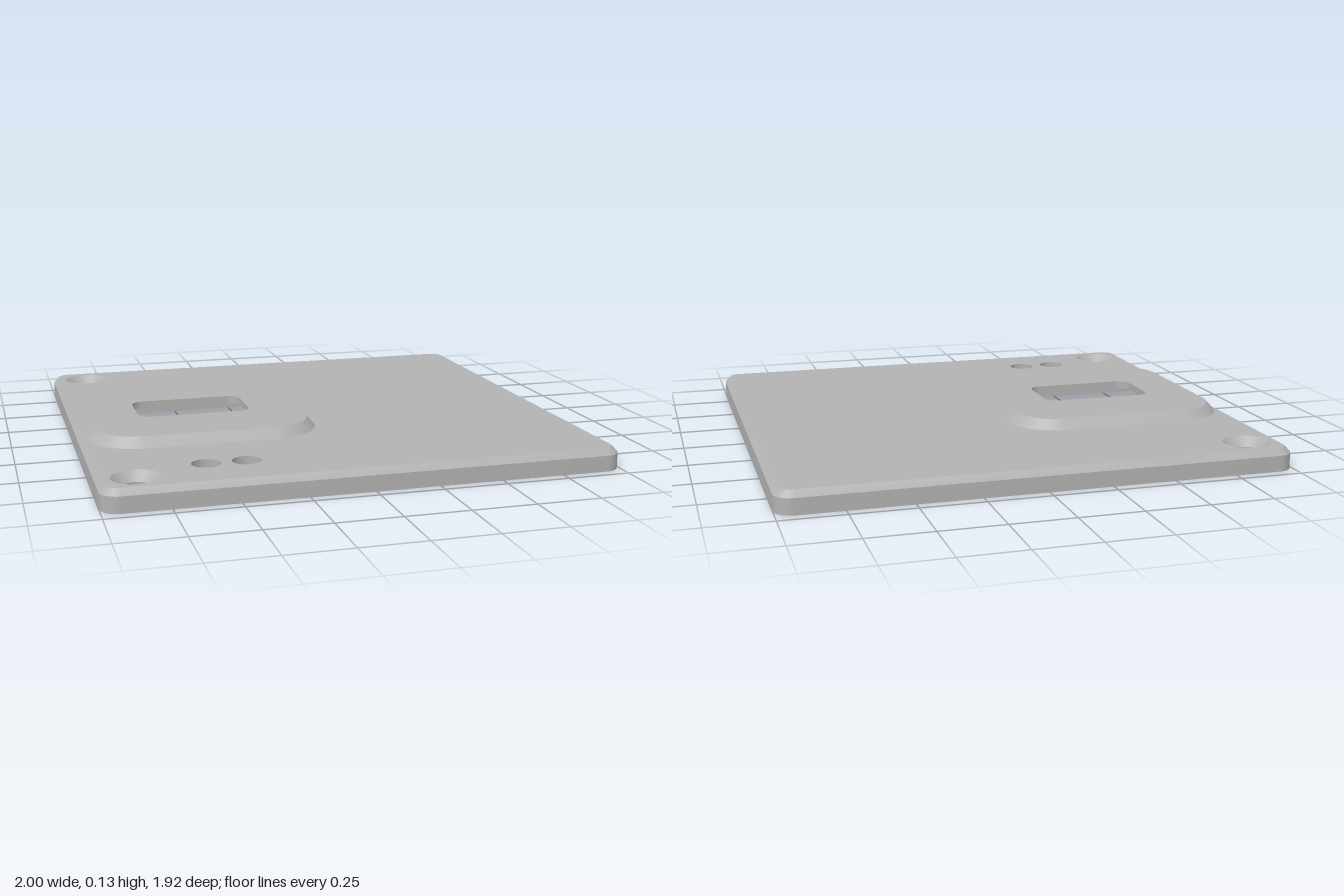
import * as THREE from 'three';
import { mergeGeometries, toCreasedNormals } from 'three/addons/utils/BufferGeometryUtils.js';

// Closed outlines in plan, counter-clockwise from above; y of each point is -z.
function roundedRect(cx, cz, w, d, r, seg = 10) {
  const pts = [];
  const corners = [[1, 1], [-1, 1], [-1, -1], [1, -1]];
  corners.forEach(([sx, sy], k) => {
    for (let i = 0; i <= seg; i++) {
      const a = (k + (seg ? i / seg : 0)) * Math.PI / 2;
      pts.push(new THREE.Vector2(
        cx + sx * (w / 2 - r) + r * Math.cos(a),
        -cz + sy * (d / 2 - r) + r * Math.sin(a)));
    }
  });
  return pts;
}

function circle(cx, cz, r, n = 40) {
  return Array.from({ length: n }, (_, i) => {
    const a = i / n * Math.PI * 2;
    return new THREE.Vector2(cx + r * Math.cos(a), -cz + r * Math.sin(a));
  });
}

// Horizontal face with holes, facing up or down.
function face(outline, holes, y, up) {
  const shape = new THREE.Shape(outline);
  shape.holes = holes.map(h => new THREE.Path(h));
  const g = new THREE.ShapeGeometry(shape);
  if (!up) g.index.array.reverse();
  g.rotateX(-Math.PI / 2).translate(0, y, 0);
  const flat = g.toNonIndexed();
  flat.deleteAttribute('uv');
  flat.deleteAttribute('normal');
  return flat;
}

// Band between two outlines: low to high faces outward, high to low inward.
function wall(a, ya, b, yb) {
  const pos = [];
  const put = (p, y) => pos.push(p.x, y, -p.y);
  for (let i = 0; i < a.length; i++) {
    const j = (i + 1) % a.length;
    put(a[i], ya); put(a[j], ya); put(b[j], yb);
    put(a[i], ya); put(b[j], yb); put(b[i], yb);
  }
  const g = new THREE.BufferGeometry();
  g.setAttribute('position', new THREE.Float32BufferAttribute(pos, 3));
  return g;
}

export function createModel() {
  const model = new THREE.Group();
  const grey = new THREE.MeshStandardMaterial({ color: 0xb2b2b2 });
  grey.name = 'grey';

  const add = (name, parts) => {
    const mesh = new THREE.Mesh(toCreasedNormals(mergeGeometries(parts), 0.5), grey);
    mesh.name = name;
    model.add(mesh);
  };

  // Heights
  const edgeY = 0.063, plateY = 0.087, bossY = 0.126;
  const ledgeY = 0.035, ceilingY = 0.095, sinkY = 0.05;

  // Outlines
  const bx = -0.507;
  const plate = roundedRect(0, 0, 2, 1.92, 0.07);
  const plateTop = roundedRect(0, 0, 1.954, 1.874, 0.047);
  const bossBase = roundedRect(bx, 0, 0.932, 0.932, 0.21, 16);
  const bossTop = roundedRect(bx, 0, 0.862, 0.862, 0.175, 16);
  const opening = roundedRect(bx, 0, 0.466, 0.27, 0.05);
  const recess = roundedRect(bx, 0, 0.87, 0.86, 0, 0);
  const pocket = roundedRect(bx, 0, 0.72, 0.72, 0.1);
  const screws = [-0.82, 0.82].map(z => ({
    bore: circle(-0.857, z, 0.055), rim: circle(-0.857, z, 0.092),
  }));
  const pinHoles = [-0.585, -0.432].map(x => circle(x, 0.725, 0.055));

  // Plate with a chamfered top edge
  add('basePlate', [
    face(plate, [recess, ...screws.map(s => s.bore), ...pinHoles], 0, false),
    wall(plate, 0, plate, edgeY),
    wall(plate, edgeY, plateTop, plateY),
    face(plateTop, [bossBase, ...screws.map(s => s.rim), ...pinHoles], plateY, true),
  ]);

  // Raised boss with sloping sides and a window through it
  add('raisedBoss', [
    wall(bossBase, plateY, bossTop, bossY),
    face(bossTop, [opening], bossY, true),
    wall(opening, bossY, opening, ceilingY),
  ]);

  // Stepped recess under the boss
  add('undersideRecess', [
    wall(recess, ledgeY, recess, 0),
    face(recess, [pocket], ledgeY, false),
    wall(pocket, ceilingY, pocket, ledgeY),
    face(pocket, [opening], ceilingY, false),
  ]);

  // Countersunk screw holes
  screws.forEach(s => add('screwHole', [
    wall(s.rim, plateY, s.bore, sinkY),
    wall(s.bore, sinkY, s.bore, 0),
  ]));

  // Plain through holes
  pinHoles.forEach(h => add('pinHole', [wall(h, plateY, h, 0)]));

  return model;
}
